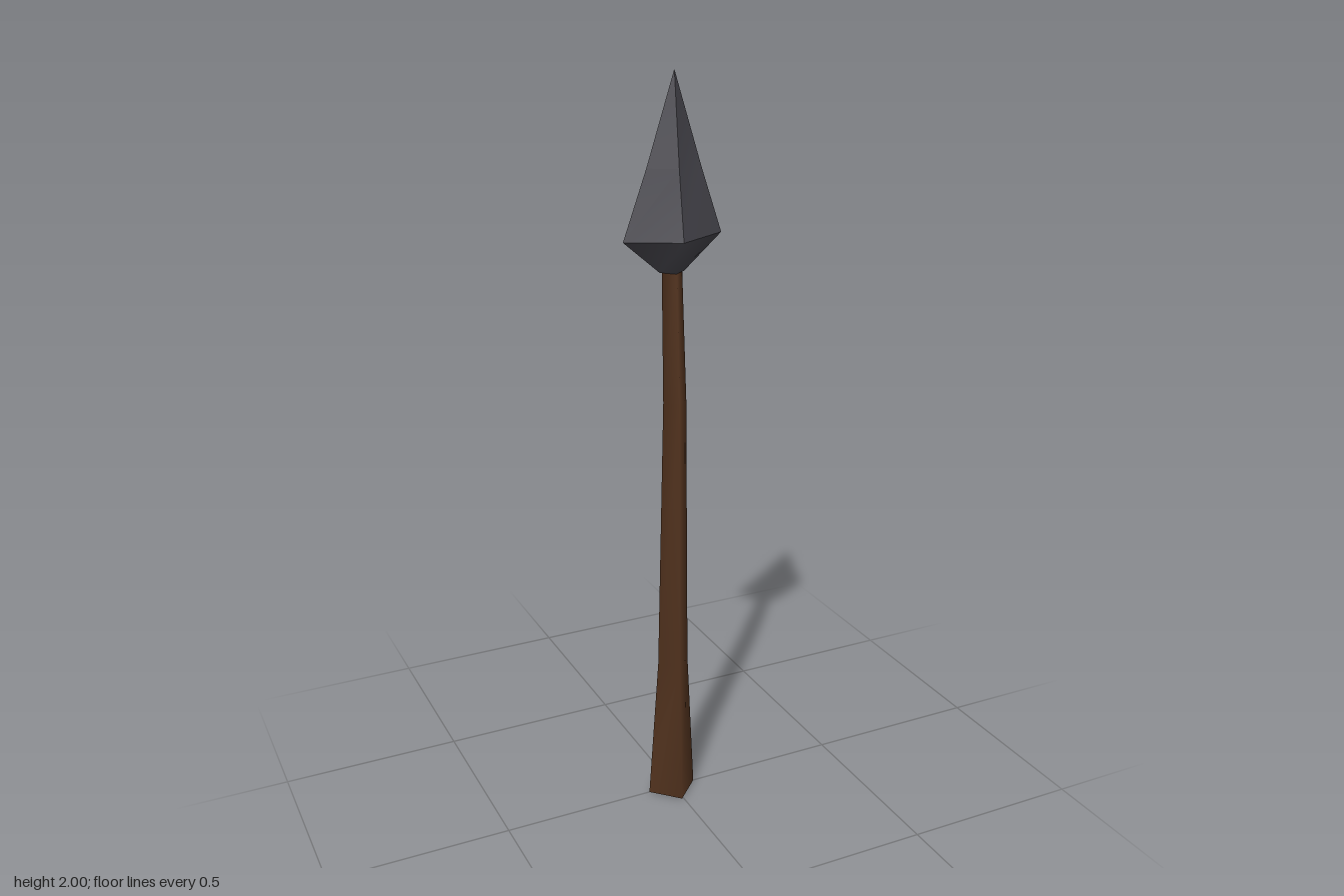
import * as THREE from 'three';
import { toCreasedNormals } from 'three/addons/utils/BufferGeometryUtils.js';

// Lofts four-cornered rings [y, centreX, centreZ, radiusX, radiusZ, tilt] from bottom to top
function loft(rings, twist = 0) {
  const positions = [], index = [];
  const c = Math.cos(twist), s = Math.sin(twist);
  for (const [y, cx, cz, rx, rz, tilt = 0] of rings) {
    for (const [ux, uz] of [[1, 0], [0, 1], [-1, 0], [0, -1]]) {
      const x = ux * rx, z = uz * rz;
      positions.push(cx + x * c - z * s, y + ux * tilt, cz + x * s + z * c);
    }
  }
  for (let r = 0; r < rings.length - 1; r++) {
    for (let i = 0; i < 4; i++) {
      const a = r * 4 + i, b = r * 4 + (i + 1) % 4;
      index.push(a, a + 4, b, b, a + 4, b + 4);
    }
  }
  const geometry = new THREE.BufferGeometry();
  geometry.setAttribute('position', new THREE.Float32BufferAttribute(positions, 3));
  geometry.setIndex(index);
  geometry.computeVertexNormals();
  return geometry;
}

// Flat downward-facing end under a ring
function endCap([y, cx, cz, rx, rz], twist = 0) {
  const geometry = new THREE.CircleGeometry(1, 4);
  geometry.rotateX(Math.PI / 2);
  geometry.scale(rx, 1, rz);
  geometry.rotateY(-twist);
  geometry.translate(cx, y, cz);
  return geometry;
}

export function createModel() {
  const wood = new THREE.MeshStandardMaterial({ name: 'darkWood', color: 0x54341f });
  const metal = new THREE.MeshStandardMaterial({ name: 'darkMetal', color: 0x47464d });
  const model = new THREE.Group();
  model.name = 'spear';

  const add = (parent, name, geometry, material) => {
    const mesh = new THREE.Mesh(geometry, material);
    mesh.name = name;
    parent.add(mesh);
  };

  // Slightly crooked, tapering shaft with a flared butt
  const shaft = new THREE.Group();
  shaft.name = 'shaft';
  const shaftRings = [
    [0, -0.005, 0, 0.07, 0.07],
    [0.41, -0.002, 0.003, 0.045, 0.045],
    [1.17, 0.001, 0.008, 0.033, 0.03],
    [1.53, -0.003, -0.001, 0.028, 0.028],
  ];
  add(shaft, 'shaftPole', loft(shaftRings), wood);
  add(shaft, 'shaftButt', endCap(shaftRings[0]), wood);

  // Diamond-section spearhead, turned a little about its axis
  const head = new THREE.Group();
  head.name = 'spearhead';
  const twist = 0.075;
  const collar = [1.51, -0.003, -0.001, 0.033, 0.03];
  const widest = [1.597, -0.001, -0.001, 0.131, 0.077, 0.004];
  const blade = loft([
    widest,
    [1.77, 0.002, 0, 0.072, 0.036],
    [2, 0.003, 0, 0.0005, 0.0005],
  ], twist);
  add(head, 'blade', toCreasedNormals(blade, 0.5), metal);
  add(head, 'bladeBase', loft([collar, widest], twist), metal);
  add(head, 'bladeSocket', endCap(collar, twist), metal);

  model.add(shaft, head);
  return model;
}
